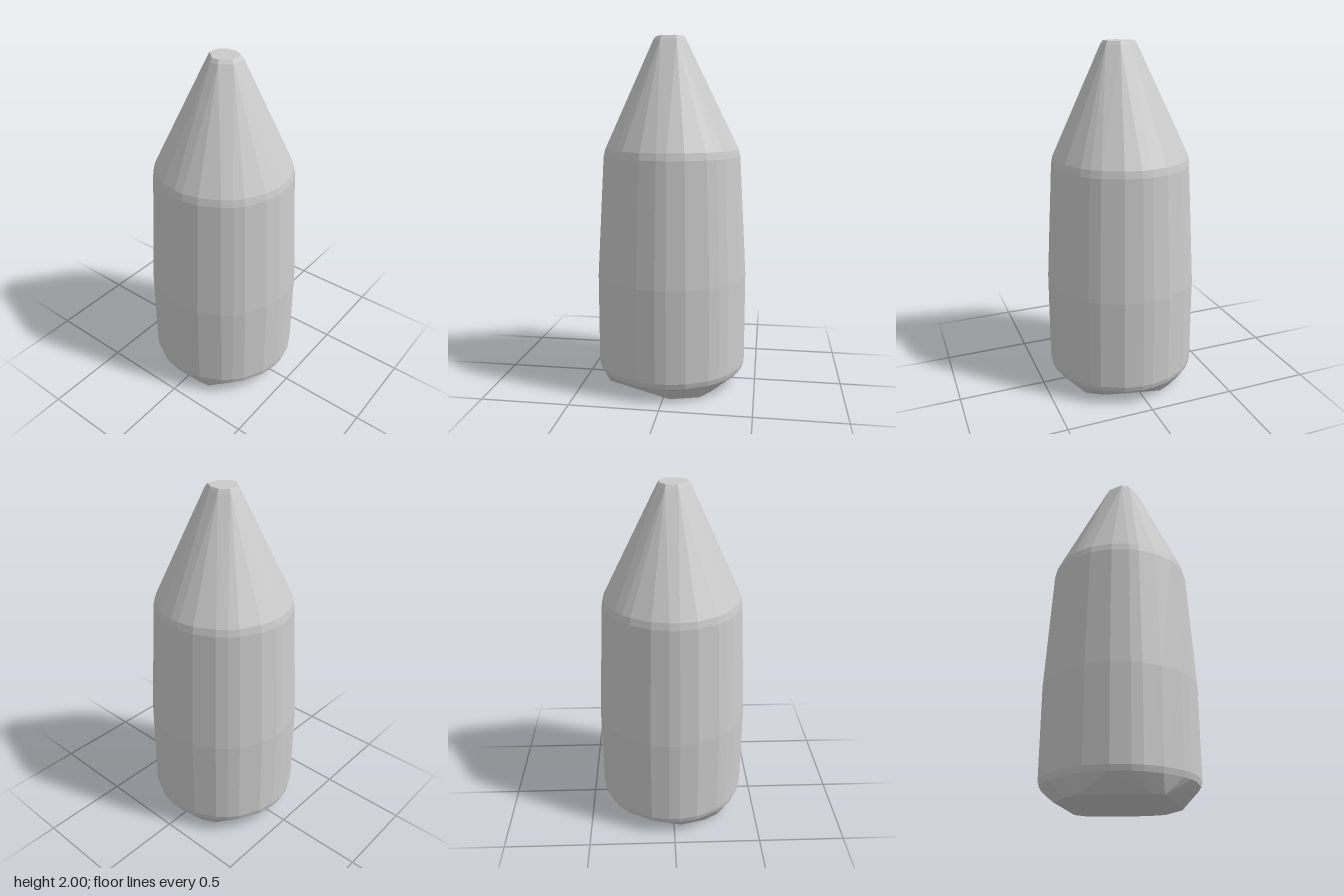
import * as THREE from 'three';
import { ConvexGeometry } from 'three/addons/geometries/ConvexGeometry.js';

// Facet corner angles within one quarter turn, in degrees
const QUARTER = [4, 18, 36, 45, 54, 72, 86];

// Ring of facet corners around the body: radius, height
function ring(radius, y) {
  const points = [];
  for (let q = 0; q < 4; q++) {
    for (const deg of QUARTER) {
      const a = THREE.MathUtils.degToRad(deg + q * 90);
      points.push(new THREE.Vector3(radius * Math.cos(a), y, radius * Math.sin(a)));
    }
  }
  return points;
}

// Flat outline of [x, z] corners placed at a height
function outline(corners, y, scale = 1) {
  return corners.map(([x, z]) => new THREE.Vector3(x * scale, y, z * scale));
}

export function createModel() {
  const model = new THREE.Group();

  // Uneven, hewn foot
  const foot = [
    [0.04, 0.35], [0.2, 0.3], [0.26, 0.21], [0.34, -0.12], [0.3, -0.2],
    [-0.04, -0.35], [-0.19, -0.31], [-0.27, -0.26], [-0.36, 0.08], [-0.35, 0.15],
  ];

  // Blunt tip with one clipped corner
  const tip = [
    [-0.1, -0.01], [-0.03, -0.083], [0.04, -0.083], [0.08, -0.03],
    [0.08, 0.03], [0.04, 0.098], [-0.05, 0.098], [-0.1, 0.04],
  ];

  // Body: chamfered foot, slightly tapering sides, conical top
  const points = [
    ...outline(foot, 0),
    ...ring(0.395, 0.06),
    ...ring(0.426, 0.09),
    ...ring(0.434, 0.12),
    ...ring(0.434, 0.64),
    ...ring(0.394, 1.33),
    ...ring(0.385, 1.37),
    ...outline(tip, 1.98),
    ...outline(tip, 2, 0.86),
  ];

  const body = new THREE.Mesh(
    new ConvexGeometry(points),
    new THREE.MeshStandardMaterial({ color: 0xcccccc, flatShading: true }),
  );
  body.name = 'facetedBody';
  model.add(body);
  return model;
}
